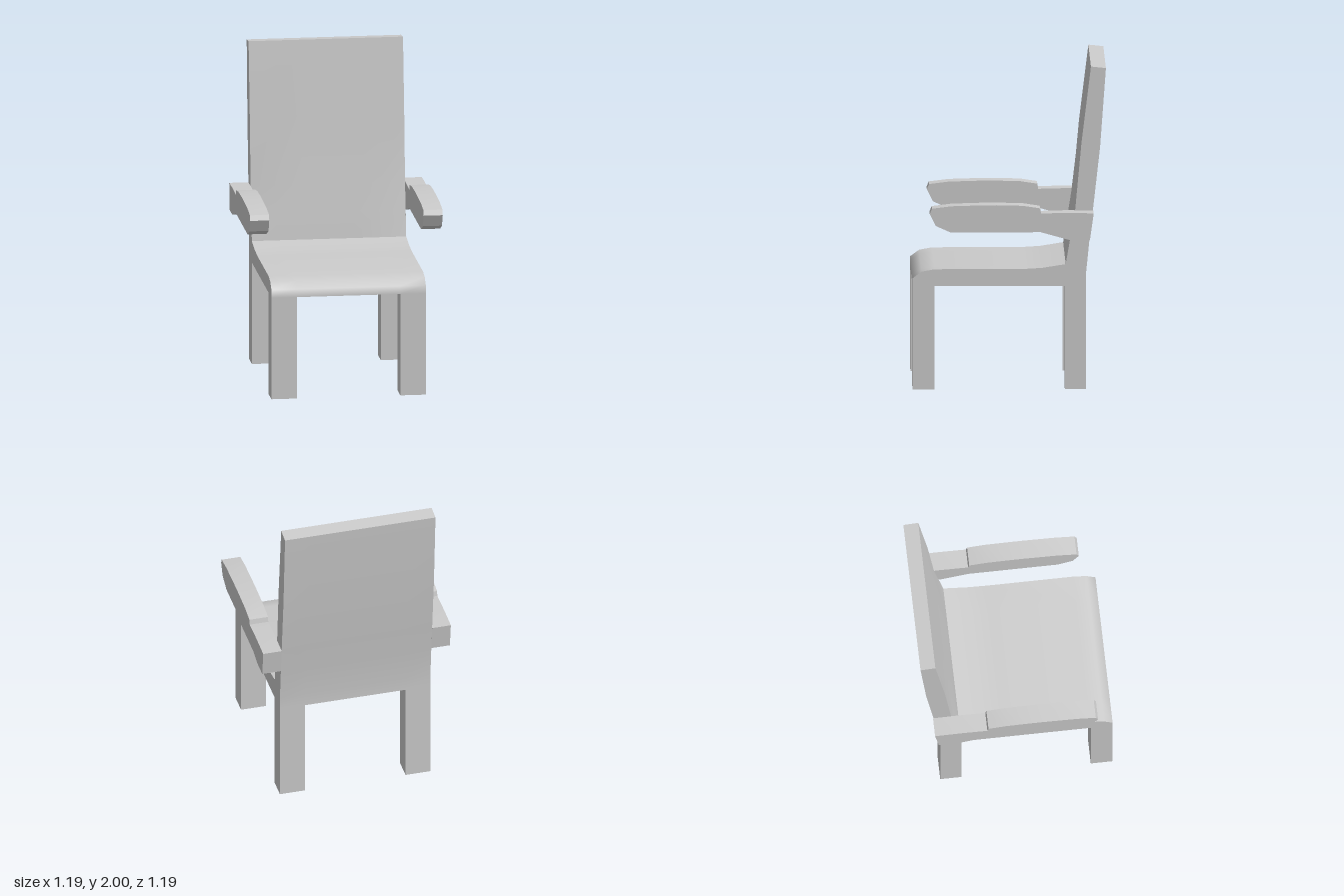
import * as THREE from 'three';
import { toCreasedNormals } from 'three/addons/utils/BufferGeometryUtils.js';

const material = new THREE.MeshStandardMaterial({ color: 0xcccccc });

// Extrudes a side profile of [z, y] points across x, from -width/2 to width/2.
function sideExtrude(points, width, steps = 1) {
  const shape = new THREE.Shape(points.map(([z, y]) => new THREE.Vector2(z, y)));
  const geometry = new THREE.ExtrudeGeometry(shape, { depth: width, steps, bevelEnabled: false });
  return geometry.translate(0, 0, -width / 2).rotateY(-Math.PI / 2);
}

function addPart(group, name, geometry, x = 0, y = 0, z = 0) {
  const mesh = new THREE.Mesh(geometry, material);
  mesh.name = name;
  mesh.position.set(x, y, z);
  group.add(mesh);
}

export function createModel() {
  const model = new THREE.Group();
  model.name = 'armchair';

  // Seat and backrest in one continuous shell
  const shell = sideExtrude([
    [-0.47, 0.64], [0.595, 0.64], [0.595, 0.69], [0.54, 0.73], [0.46, 0.745],
    [-0.08, 0.745], [-0.2, 0.752], [-0.345, 0.775], [-0.365, 0.94], [-0.392, 1.11],
    [-0.442, 1.53], [-0.5, 2], [-0.592, 1.99], [-0.556, 1.5], [-0.512, 1.11],
    [-0.492, 0.94], [-0.47, 0.72],
  ], 0.956, 6);

  // Front of the backrest recedes slightly at the sides, beside the arms
  const pos = shell.attributes.position;
  for (let i = 0; i < pos.count; i++) {
    const y = pos.getY(i), z = pos.getZ(i);
    if (Math.abs(pos.getX(i)) > 0.45 && y > 0.9 && y < 1.2 && z > -0.42) {
      pos.setZ(i, z - 0.011);
    }
  }
  addPart(model, 'seatAndBackrest', toCreasedNormals(shell, 1.0));

  // Armrests with a raised front pad
  const arm = toCreasedNormals(sideExtrude([
    [-0.492, 0.94], [-0.37, 0.94], [-0.19, 0.99], [0.365, 0.99], [0.455, 1.03],
    [0.492, 1.105], [0.478, 1.137], [0.36, 1.152], [0.15, 1.158], [0.08, 1.158],
    [-0.08, 1.154], [-0.185, 1.138], [-0.192, 1.106], [-0.36, 1.11], [-0.515, 1.106],
  ], 0.118), 0.3);

  // Legs
  const frontLeg = new THREE.BoxGeometry(0.158, 0.64, 0.135);
  const backLeg = new THREE.BoxGeometry(0.158, 0.64, 0.13);

  for (const [side, s] of [['left', 1], ['right', -1]]) {
    addPart(model, side + 'Armrest', arm, s * 0.537);
    addPart(model, side + 'FrontLeg', frontLeg, s * 0.399, 0.32, 0.5275);
    addPart(model, side + 'BackLeg', backLeg, s * 0.399, 0.32, -0.405);
  }
  return model;
}
